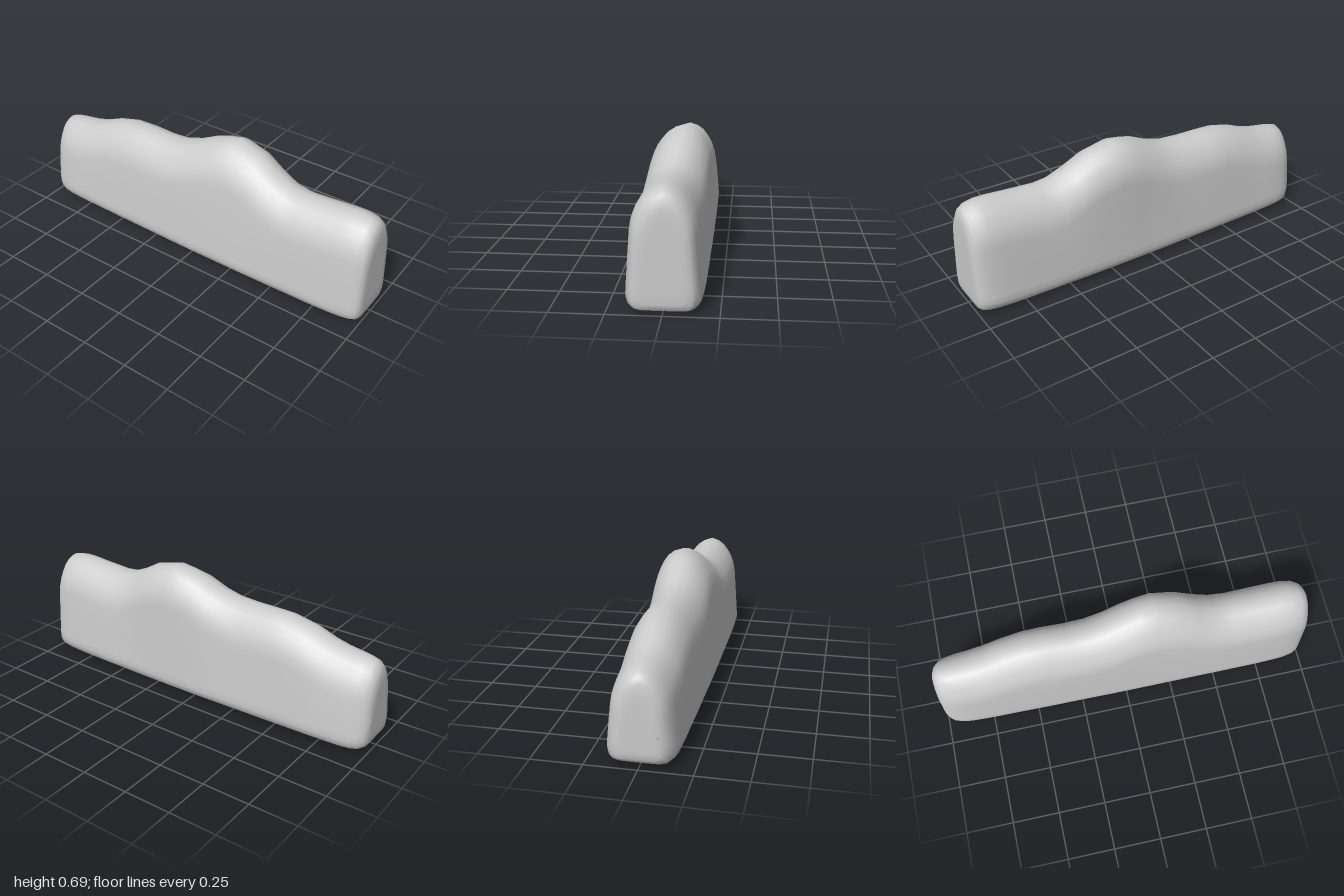
import * as THREE from 'three';

// Stations along the length: x, top height, bottom height, half width, sideways shift of the crest
const stations = [
  [-1.0, 0.36, 0.08, 0.085, 0], [-0.997, 0.405, 0.05, 0.105, 0], [-0.985, 0.437, 0.03, 0.125, 0],
  [-0.96, 0.458, 0.018, 0.145, 0], [-0.92, 0.468, 0.013, 0.158, 0], [-0.87, 0.475, 0.011, 0.165, 0],
  [-0.8, 0.485, 0.01, 0.168, 0], [-0.72, 0.505, 0.009, 0.17, 0], [-0.62, 0.545, 0.007, 0.17, -0.005],
  [-0.5, 0.572, 0.006, 0.172, -0.01], [-0.4, 0.575, 0.005, 0.173, -0.01], [-0.28, 0.573, 0.003, 0.173, -0.005],
  [-0.17, 0.58, 0.002, 0.174, -0.005], [-0.07, 0.608, 0.001, 0.175, -0.012], [0.03, 0.655, 0, 0.175, -0.022],
  [0.1, 0.674, 0, 0.175, -0.03], [0.18, 0.688, 0, 0.175, -0.035], [0.31, 0.655, 0, 0.175, -0.028],
  [0.41, 0.597, 0.001, 0.175, -0.015], [0.5, 0.555, 0.003, 0.176, -0.005], [0.59, 0.543, 0.004, 0.176, 0],
  [0.74, 0.552, 0.006, 0.176, 0], [0.84, 0.56, 0.008, 0.174, 0], [0.9, 0.561, 0.01, 0.171, 0],
  [0.95, 0.553, 0.012, 0.162, 0], [0.98, 0.535, 0.016, 0.148, 0], [0.994, 0.51, 0.025, 0.132, 0],
  [1.0, 0.47, 0.05, 0.11, 0],
];

// Half cross-section: half width (at full size), height above the bottom or below the top
const lower = [[0.06, 0], [0.12, 0.001], [0.15, 0.008], [0.168, 0.025], [0.176, 0.055], [0.174, 0.09]];
const upper = [[0.155, 0.2], [0.146, 0.15], [0.131, 0.11], [0.108, 0.072], [0.08, 0.038], [0.045, 0.014]];

function ring([x, top, bottom, half, shift], inset = 1) {
  const s = half / 0.175;
  const side = [
    ...lower.map(([w, d]) => [w, bottom + d]),
    [0.165, bottom + 0.09 + (top - bottom - 0.29) * 0.5],
    ...upper.map(([w, d]) => [w, top - d]),
  ];
  const mid = (top + bottom) / 2;
  const place = (z, y) => {
    const lean = shift * Math.pow(Math.max(0, (y - bottom) / (top - bottom)), 2);
    return [x, mid + (y - mid) * inset, (z * s + lean) * inset];
  };
  return [
    place(0, bottom),
    ...side.map(([w, y]) => place(w, y)),
    place(0, top),
    ...side.reverse().map(([w, y]) => place(-w, y)),
  ];
}

// Skin the rings and close both ends with a gently flattened cap
function loft(rings) {
  const n = rings[0].length, last = rings.length - 1;
  const points = rings.flat();
  const index = [];
  for (let i = 0; i < last; i++) {
    for (let j = 0; j < n; j++) {
      const k = (j + 1) % n;
      const a = i * n + j, b = i * n + k, c = a + n, d = b + n;
      index.push(a, c, b, b, c, d);
    }
  }
  for (const end of [0, last]) {
    const pole = points.length;
    const ys = rings[end].map((p) => p[1]);
    points.push([rings[end][0][0], (Math.min(...ys) + Math.max(...ys)) / 2, 0]);
    for (let j = 0; j < n; j++) {
      const a = end * n + j, b = end * n + (j + 1) % n;
      if (end) index.push(pole, b, a);
      else index.push(pole, a, b);
    }
  }
  const geometry = new THREE.BufferGeometry();
  geometry.setAttribute('position', new THREE.Float32BufferAttribute(points.flat(), 3));
  geometry.setIndex(index);
  geometry.computeVertexNormals();
  return geometry;
}

export function createModel() {
  const group = new THREE.Group();
  group.name = 'softBlock';
  const first = stations[0], last = stations[stations.length - 1];
  const rings = [ring(first, 0.75), ...stations.map((s) => ring(s)), ring(last, 0.75)];
  const body = new THREE.Mesh(loft(rings), new THREE.MeshStandardMaterial({ color: 0xcccccc }));
  body.name = 'body';
  group.add(body);
  return group;
}
